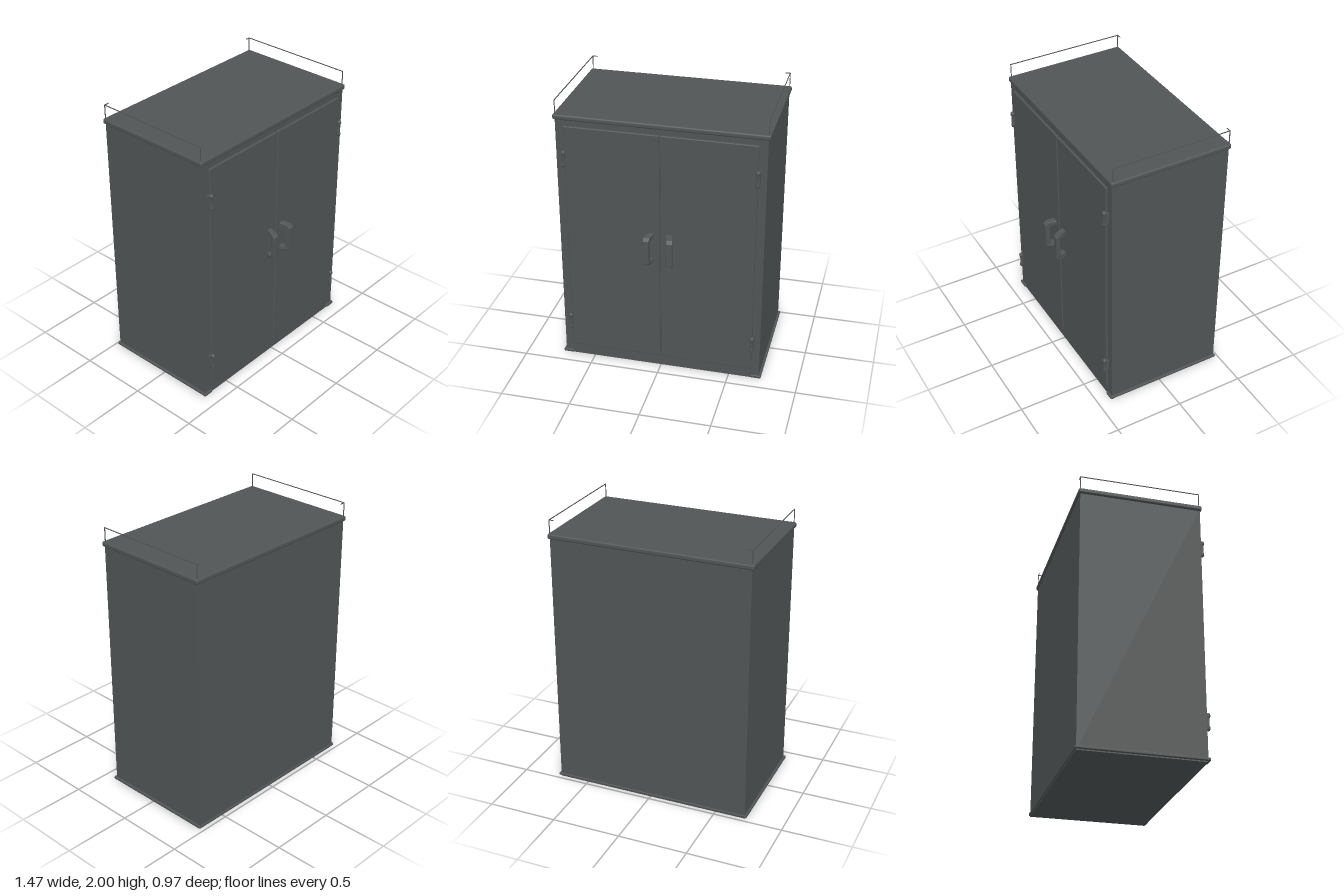
import * as THREE from 'three';
import { RoundedBoxGeometry } from 'three/addons/geometries/RoundedBoxGeometry.js';

const steel = new THREE.MeshStandardMaterial({ color: 0x515555 });
steel.name = 'dark grey steel';

function add(parent, name, geometry, x = 0, y = 0, z = 0) {
  const mesh = new THREE.Mesh(geometry, steel);
  mesh.name = name;
  mesh.position.set(x, y, z);
  parent.add(mesh);
  return mesh;
}

// Box given by its limits on each axis, optionally with rounded edges
function block(parent, name, [x0, x1], [y0, y1], [z0, z1], radius = 0) {
  const size = [x1 - x0, y1 - y0, z1 - z0];
  const geometry = radius
    ? new RoundedBoxGeometry(...size, 3, radius)
    : new THREE.BoxGeometry(...size);
  return add(parent, name, geometry, (x0 + x1) / 2, (y0 + y1) / 2, (z0 + z1) / 2);
}

// Same block on either side: s = 1 for left, -1 for right
function sideBlock(parent, name, s, [x0, x1], y, z, radius) {
  return block(parent, name, s > 0 ? [x0, x1] : [-x1, -x0], y, z, radius);
}

// Pull handle: a bevelled loop in the depth-height plane, leaning outwards
function handleGeometry(s) {
  const outline = new THREE.Shape([
    [0.39, 0.87], [0.455, 0.87], [0.482, 0.888], [0.482, 1.06], [0.462, 1.078], [0.39, 1.09],
  ].map(p => new THREE.Vector2(...p)));
  outline.holes.push(new THREE.Path([
    [0.38, 0.895], [0.38, 1.062], [0.447, 1.05], [0.457, 1.04], [0.457, 0.908], [0.445, 0.895],
  ].map(([z, y]) => new THREE.Vector2(Math.max(z, 0.395), y))));
  const g = new THREE.ExtrudeGeometry(outline, {
    depth: 0.034, bevelEnabled: true, bevelThickness: 0.005, bevelSize: 0.004, bevelSegments: 2,
  });
  g.rotateY(-Math.PI / 2); // shape x becomes z, depth becomes -x
  const p = g.attributes.position;
  for (let i = 0; i < p.count; i++) {
    const t = Math.min(1, Math.max(0, (p.getZ(i) - 0.39) / 0.09));
    const lean = 0.022 * Math.sin(t * Math.PI / 2);
    p.setX(i, p.getX(i) + 0.017 + s * (0.06 + lean));
  }
  g.computeVertexNormals();
  return g;
}

// Hinge pin with a knob at each end
function hingeGeometry() {
  const profile = [
    [0, -0.062], [0.009, -0.06], [0.014, -0.05], [0.013, -0.036], [0.009, -0.028],
    [0.009, 0.026], [0.014, 0.034], [0.016, 0.046], [0.012, 0.058], [0, 0.062],
  ];
  return new THREE.LatheGeometry(profile.map(p => new THREE.Vector2(...p)), 14);
}

export function createModel() {
  const cabinet = new THREE.Group();
  cabinet.name = 'cabinet';

  // Carcass and lid
  block(cabinet, 'body', [-0.72, 0.72], [0, 1.88], [-0.468, 0.393]);
  block(cabinet, 'lid', [-0.735, 0.735], [1.863, 1.9], [-0.48, 0.405], 0.012);

  // Base lip along the back
  block(cabinet, 'backBaseLip', [-0.733, 0.733], [0.01, 0.026], [-0.477, -0.46], 0.005);

  for (const s of [1, -1]) {
    const side = s > 0 ? 'left' : 'right';

    // Base lip along the side, with a small tab at the front corner
    sideBlock(cabinet, side + 'BaseLip', s, [0.71, 0.735], [0.008, 0.028], [-0.477, 0.405], 0.006);
    sideBlock(cabinet, side + 'FrontFoot', s, [0.66, 0.735], [0.006, 0.028], [0.38, 0.407], 0.006);

    // Door with a narrow gap at the centre
    sideBlock(cabinet, side + 'Door', s, [0.004, 0.662], [0.083, 1.823], [0.37, 0.407], 0.006);

    // Hinges at the outer door edge
    for (const [level, y] of [['Upper', 1.59], ['Lower', 0.297]]) {
      const hinge = new THREE.Group();
      hinge.name = side + level + 'Hinge';
      cabinet.add(hinge);
      add(hinge, 'hingePin', hingeGeometry(), s * 0.664, y, 0.42);
      sideBlock(hinge, 'hingeLeaf', s, [0.655, 0.678], [y - 0.045, y + 0.045], [0.385, 0.416], 0.004);
    }

    // Pull handle
    add(cabinet, side + 'Handle', handleGeometry(s));

    // Thin wire rail above the lid: two posts, a side bar and a short return at the back
    const rail = new THREE.Group();
    rail.name = side + 'TopRail';
    cabinet.add(rail);
    const wire = [0.717, 0.722];
    sideBlock(rail, 'frontPost', s, wire, [1.89, 2], [0.384, 0.389]);
    sideBlock(rail, 'backPost', s, wire, [1.89, 2], [-0.47, -0.465]);
    sideBlock(rail, 'sideBar', s, wire, [1.995, 2], [-0.47, 0.389]);
    sideBlock(rail, 'backReturn', s, [0.685, 0.722], [1.995, 2], [-0.47, -0.465]);
  }

  return cabinet;
}
